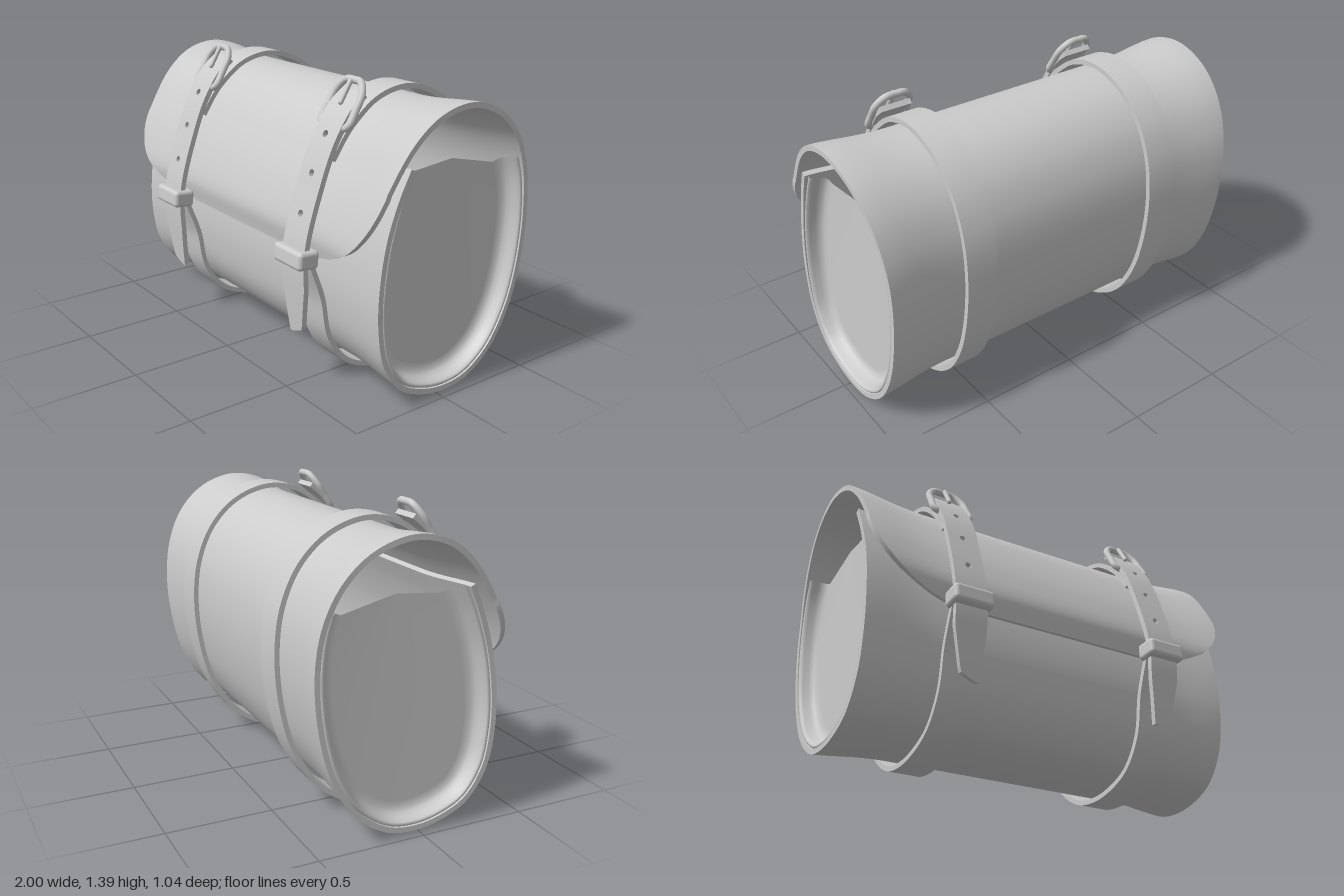
import * as THREE from 'three';
import { toCreasedNormals } from 'three/addons/utils/BufferGeometryUtils.js';
import { RoundedBoxGeometry } from 'three/addons/geometries/RoundedBoxGeometry.js';

const material = new THREE.MeshStandardMaterial({ color: 0xcccccc, side: THREE.DoubleSide });
const clamp = THREE.MathUtils.clamp, lerp = THREE.MathUtils.lerp;
const STRAP_X = 0.5275, STRAP_HALF = 0.078, LEATHER = 0.025;

// Side outline as [z, y]: front lip, down, under, up the back, over the top, flap edge
const OUTLINE = [
  [0.225, 1.09], [0.275, 0.98], [0.335, 0.8], [0.368, 0.6], [0.37, 0.42], [0.335, 0.24],
  [0.24, 0.1], [0.11, 0.035], [-0.03, 0.012], [-0.17, 0.035], [-0.32, 0.14], [-0.43, 0.32],
  [-0.49, 0.54], [-0.508, 0.78], [-0.48, 0.98], [-0.4, 1.15], [-0.27, 1.27], [-0.09, 1.327],
  [0.08, 1.295], [0.21, 1.2], [0.325, 1.04], [0.41, 0.87], [0.45, 0.73], [0.435, 0.62],
];

function makePath(points) {
  const curve = new THREE.CatmullRomCurve3(points.map(([z, y]) => new THREE.Vector3(0, y, z)));
  curve.arcLengthDivisions = 800;
  return curve;
}

// Point on a path at fraction t, pushed outward by d
function offsetPoint(path, t, d, x) {
  const p = path.getPointAt(t), g = path.getTangentAt(t);
  return new THREE.Vector3(x, p.y + g.z * d, p.z - g.y * d);
}

// First fraction after "from" where the path passes height y
function findHeight(path, y, from) {
  const start = path.getPointAt(from).y > y;
  for (let t = from; t < 1; t += 0.001) if ((path.getPointAt(t).y > y) !== start) return t;
  return 1;
}

function mapVertices(geometry, rule) {
  const pos = geometry.attributes.position, v = new THREE.Vector3();
  for (let i = 0; i < pos.count; i++) {
    v.fromBufferAttribute(pos, i);
    const q = rule(v);
    pos.setXYZ(i, q.x, q.y, q.z);
  }
  return toCreasedNormals(geometry, 0.7);
}

function addMesh(parent, geometry, name) {
  const mesh = new THREE.Mesh(geometry, material);
  mesh.name = name;
  parent.add(mesh);
  return mesh;
}

// The body is drawn in at the middle and flares toward both ends
function inset(x) {
  const f = clamp((Math.abs(x) - 0.6) / 0.38, 0, 1);
  return 0.045 - 0.03 * f * f * (3 - 2 * f) * (0.4 + 0.6 * f);
}

// Half width of the sheet, with rounded flap corners
function halfWidth(t, y) {
  if (t > 0.7 && y < 1) {
    const q = clamp((1 - y) / 0.38, 0, 1);
    return 0.5 + 0.48 * Math.sqrt(1 - q * q);
  }
  return 0.97 + 0.03 * Math.pow(Math.max(0, (y - 0.8) / 0.5), 1.5);
}

// One wrapped sheet: front, bottom, back and flap
function bodySheet(path) {
  return mapVertices(new THREE.BoxGeometry(2, 1, LEATHER, 48, 150, 1), (v) => {
    const t = 1 - Math.pow(0.5 - v.y, 1.4);
    const x = -v.x * halfWidth(t, path.getPointAt(t).y);
    return offsetPoint(path, t, v.z - inset(x), x);
  });
}

// Dished end panel with a flange lying inside the sheet
function endPanel(path, side) {
  const end = findHeight(path, 1.04, 0.3), rows = 90;
  const section = [[0.88, 0], [0.95, 0], [0.964, 0.003], [0.968, 0.011], [0.964, 0.019],
    [0.95, 0.023], [0.925, 0.026], [0.905, 0.034], [0.893, 0.05], [0.888, 0.08]];
  const cols = section.length + 1, positions = [], index = [];
  for (let i = 0; i <= rows; i++) {
    const t = end * i / rows;
    for (const [x, d] of section) {
      const p = offsetPoint(path, t, -inset(x) - LEATHER / 2 - d, side * x);
      positions.push(p.x, p.y, p.z);
    }
    positions.push(side * 0.885, 1.06, -0.1);
    for (let j = 0; i < rows && j < cols - 1; j++) {
      const a = i * cols + j, b = a + 1, c = a + cols, d = c + 1;
      if (side > 0) index.push(a, b, c, b, d, c);
      else index.push(a, c, b, b, c, d);
    }
  }
  const geometry = new THREE.BufferGeometry();
  geometry.setAttribute('position', new THREE.Float32BufferAttribute(positions, 3));
  geometry.setIndex(index);
  geometry.computeVertexNormals();
  return geometry;
}

// Strap cut in short strips (some punched) and bent along a path
function strapGeometry(path, centerX, thickness, edges, holes = []) {
  const length = path.getLength(), shapes = [], stops = [0];
  for (const h of [...holes, length]) {
    const from = stops[stops.length - 1], to = h === length ? length : h - 0.022;
    const n = Math.ceil((to - from) / 0.03);
    for (let i = 1; i <= n; i++) stops.push(lerp(from, to, i / n));
    if (h !== length) stops.push(h + 0.022);
  }
  for (let i = 0; i < stops.length - 1; i++) {
    const a = stops[i], b = stops[i + 1];
    const [l0, r0] = edges(length - a), [l1, r1] = edges(length - b);
    const strip = new THREE.Shape([[l0, a], [r0, a], [r1, b], [l1, b]].map((p) => new THREE.Vector2(...p)));
    const hole = holes.find((h) => h > a && h < b);
    if (hole) strip.holes.push(new THREE.Path().absarc(0, hole, 0.016, 0, Math.PI * 2, true));
    shapes.push(strip);
  }
  const flat = new THREE.ExtrudeGeometry(shapes, { depth: thickness, bevelEnabled: false, curveSegments: 8 });
  return mapVertices(flat, (v) =>
    offsetPoint(path, clamp(v.y / length, 0, 1), v.z - thickness / 2, centerX - v.x));
}

// Tapered strap end, e = distance left to the tip
function tailEdges(side) {
  return (e) => {
    const outer = e > 0.24 ? STRAP_HALF
      : e > 0.03 ? lerp(0.035, STRAP_HALF, (e - 0.03) / 0.21) : lerp(-0.035, 0.035, e / 0.03);
    const inner = lerp(-0.055, -STRAP_HALF, Math.min(1, e / 0.24));
    return side > 0 ? [-outer, -inner] : [inner, outer];
  };
}

function buckle() {
  const group = new THREE.Group();
  group.name = 'buckle';
  const frame = new THREE.CatmullRomCurve3([
    [-0.094, -0.09], [-0.094, -0.02], [-0.088, 0.05], [-0.05, 0.103], [0, 0.108], [0.05, 0.103],
    [0.088, 0.05], [0.094, -0.02], [0.094, -0.09], [0.075, -0.108], [0, -0.11], [-0.075, -0.108],
  ].map(([x, y]) => new THREE.Vector3(x, y, 0)), true);
  addMesh(group, new THREE.TubeGeometry(frame, 64, 0.017, 10, true), 'buckleFrame');
  const bar = addMesh(group, new THREE.CylinderGeometry(0.011, 0.011, 0.18, 10), 'buckleBar');
  bar.rotation.z = Math.PI / 2;
  bar.position.y = -0.02;
  const prong = addMesh(group, new THREE.CapsuleGeometry(0.012, 0.1, 4, 10), 'buckleProng');
  prong.position.set(0, 0.045, 0.016);
  group.position.set(0, 1.278, 0.207);
  group.rotation.x = -0.55;
  return group;
}

export function createModel() {
  const model = new THREE.Group();
  model.name = 'saddleBag';
  const outline = makePath(OUTLINE);
  addMesh(model, bodySheet(outline), 'bodyAndFlap');
  for (const side of [-1, 1]) addMesh(model, endPanel(outline, side), side > 0 ? 'leftEndPanel' : 'rightEndPanel');

  const wrapPath = makePath([[0.455, 0.66], [0.418, 0.56], [0.388, 0.48],
    ...OUTLINE.slice(4, 20), [0.255, 1.15], [0.32, 1.055]]);
  const frontPath = makePath([[0.15, 1.315], [0.215, 1.26], [0.31, 1.12], [0.395, 0.91],
    [0.455, 0.71], [0.468, 0.6], [0.456, 0.4], [0.442, 0.262]]);
  const holes = [1.15, 0.99, 0.82].map((y) => findHeight(frontPath, y, 0) * frontPath.getLength());

  for (const side of [-1, 1]) {
    const x = side * STRAP_X, set = new THREE.Group();
    set.name = side > 0 ? 'leftStrap' : 'rightStrap';
    addMesh(set, strapGeometry(wrapPath, x, 0.024, () => [-STRAP_HALF, STRAP_HALF]), 'wrapStrap');
    addMesh(set, strapGeometry(frontPath, x, 0.026, tailEdges(side), holes), 'frontStrap');
    const clasp = buckle();
    clasp.position.x = x;
    set.add(clasp);
    // Keeper loop holding the strap tail
    const keeper = addMesh(set, new RoundedBoxGeometry(0.2, 0.085, 0.11, 3, 0.02), 'keeper');
    keeper.position.set(x, 0.637, 0.462);
    keeper.rotation.x = -0.08;
    model.add(set);
  }
  return model;
}
